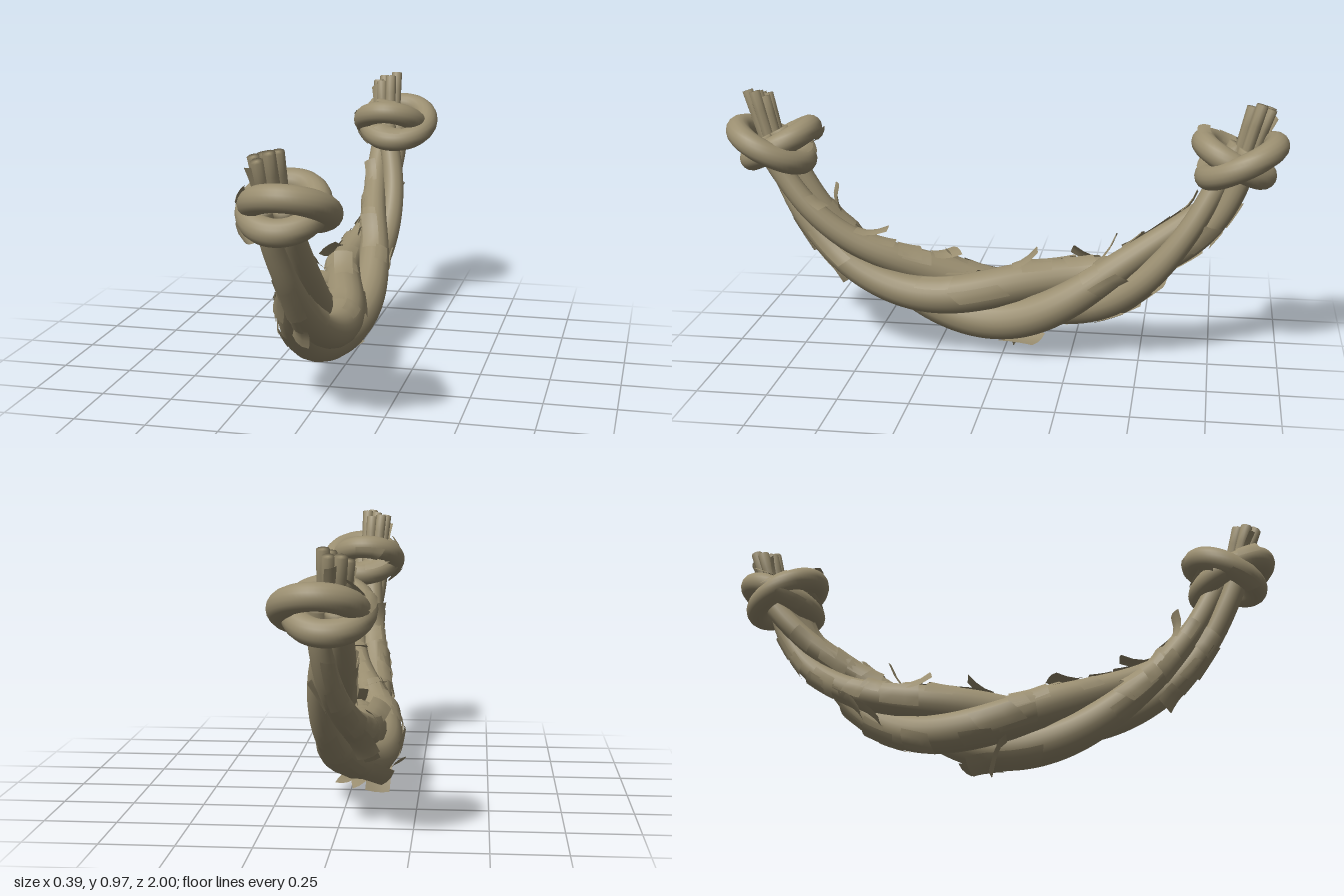
import * as THREE from 'three';
import { mergeGeometries, mergeVertices } from 'three/addons/utils/BufferGeometryUtils.js';

const V = (x, y, z) => new THREE.Vector3(x, y, z);
const RAD = Math.PI / 180;
const X = V(1, 0, 0), Y = V(0, 1, 0);

let seed = 7;
const rand = (a = 0, b = 1) => {
  seed = (seed * 16807) % 2147483647;
  return a + (b - a) * (seed / 2147483647);
};

// A path is { point(t), radius(t), ref }; this gives a point on its skin
function skin(path, t, angle, extra = 0, scale = 1) {
  const e = 0.002;
  const T = path.point(t + e).sub(path.point(t - e)).normalize();
  const N = path.ref.clone().cross(T).normalize();
  const A = T.clone().cross(N);
  const r = path.radius(t) * scale + extra;
  return path.point(t).addScaledVector(A, Math.cos(angle) * r).addScaledVector(N, Math.sin(angle) * r);
}

// Round tube along a path; when capped, the first and last rings close flat ends
function sweep(path, rings, sides, capped) {
  const g = new THREE.CylinderGeometry(1, 1, 1, sides, rings, true);
  const p = g.attributes.position;
  const h = capped ? 1 / rings : 0;
  for (let i = 0; i < p.count; i++) {
    const v = p.getY(i) + 0.5;
    const scale = capped && (v < 0.001 || v > 0.999) ? 0.02 : 1;
    const t = THREE.MathUtils.clamp((v - h) / (1 - 2 * h), 0, 1);
    const q = skin(path, t, Math.atan2(p.getZ(i), p.getX(i)), 0, scale);
    p.setXYZ(i, q.x, q.y, q.z);
  }
  g.deleteAttribute('uv');
  g.deleteAttribute('normal');
  const m = mergeVertices(g, 1e-5);
  m.computeVertexNormals();
  return m;
}

// Peeling strip of bark that hugs a path and lifts away toward one end
function flap(path, t, angle, width, dt, lift) {
  const g = new THREE.PlaneGeometry(1, 1, 3, 3);
  const p = g.attributes.position;
  const r = path.radius(t);
  const skew = rand(-0.25, 0.25);
  for (let i = 0; i < p.count; i++) {
    const u = -p.getX(i) * 2, v = p.getY(i) + 0.5;
    const rise = 0.004 + lift * v * v;
    const half = width / 2 / (r + rise);
    const q = skin(path, t + dt * (v + skew * u * 0.5), angle + u * half, rise);
    p.setXYZ(i, q.x, q.y, q.z);
  }
  if (dt < 0) g.index.array.reverse();
  g.computeVertexNormals();
  return g;
}

// Sagging centre line of the rope, from the front end to the back end
const centre = new THREE.CatmullRomCurve3([
  V(-0.015, 0.8, 0.86), V(-0.01, 0.66, 0.79), V(0, 0.51, 0.69), V(-0.005, 0.36, 0.53),
  V(-0.025, 0.235, 0.28), V(-0.04, 0.195, 0), V(-0.03, 0.24, -0.27), V(-0.01, 0.355, -0.5),
  V(0, 0.51, -0.68), V(-0.005, 0.66, -0.79), V(-0.015, 0.8, -0.86),
]);
const swell = (t) => Math.sin(Math.PI * THREE.MathUtils.clamp(t, 0, 1)) ** 3;
const twist = (k, t) => (60 + 120 * k + (t - 0.5) * 515 + (t - 0.5) ** 2 * 170) * RAD;
const centrePath = {
  ref: X,
  radius: (t) => 0.038 + 0.036 * swell(t),
  point: (t) => centre.getPointAt(THREE.MathUtils.clamp(t, 0, 1)),
};

const strands = [0, 1, 2].map((k) => ({
  ref: X,
  radius: (t) => 0.039 + 0.034 * swell(t),
  point: (t) => {
    const s = THREE.MathUtils.clamp(t, 0.004, 0.996);
    return skin(centrePath, s, twist(k, s)).addScaledVector(centre.getTangentAt(s), (t - s) * 2.3);
  },
}));

// Tilted loop of a knot; side is +1 at the front, -1 at the back
const loopPath = (side, tilt, x, z, r) => ({
  ref: Y,
  radius: () => 0.044,
  point: (t) => {
    const a = t * Math.PI * 2;
    return V(x + r * Math.sin(a), 0.772 + tilt * Math.cos(a), side * (z + r * Math.cos(a)));
  },
});

// Straight loose fibre sticking out above a knot
function tipPath(side, k) {
  const a = k * 60 * RAD, s = k === 6 ? 0 : 1;
  const from = V(-0.015 + s * 0.025 * Math.cos(a), 0.68, side * (0.82 + s * 0.02 * Math.sin(a)));
  const to = V(-0.032 + s * 0.038 * Math.cos(a), rand(0.93, 0.972), side * (0.9 + s * 0.036 * Math.sin(a)));
  return { ref: X, radius: () => 0.021, point: (t) => from.clone().lerp(to, t) };
}

export function createModel() {
  seed = 7;
  const bark = new THREE.MeshStandardMaterial({ color: 0x9a8e70, side: THREE.DoubleSide });
  bark.name = 'dry bark';
  const model = new THREE.Group();
  model.name = 'knottedRope';
  const add = (name, geometry) => {
    const mesh = new THREE.Mesh(geometry, bark);
    mesh.name = name;
    model.add(mesh);
  };

  // Three twisted strands
  strands.forEach((s, k) => add('strand' + (k + 1), sweep(s, 100, 16, true)));

  // Peeling bark, mostly on the right and upper sides
  const peel = [];
  while (peel.length < 75) {
    const k = Math.floor(rand(0, 3)), t = rand(0.12, 0.88);
    const angle = twist(k, t) + rand(-65, 65) * RAD;
    if (Math.cos(angle) > 0.25 && Math.sin(angle) < 0.8) continue;
    const raised = rand() < 0.3 && Math.cos(angle) > -0.75;
    const lift = raised ? rand(0.025, 0.05) : rand(0.002, 0.01);
    const dt = rand(0.03, 0.06) * (rand() < 0.5 ? -1 : 1);
    peel.push(flap(strands[k], t, angle, rand(0.045, 0.085), dt, lift));
  }
  // Larger loose pieces under the belly and along the left flank
  peel.push(flap(strands[1], 0.5, -86 * RAD, 0.09, 0.03, 0.105));
  peel.push(flap(strands[2], 0.5, -95 * RAD, 0.08, 0.045, 0.03));
  peel.push(flap(strands[0], 0.5, 0.1, 0.05, -0.08, 0.008));
  peel.push(flap(strands[2], 0.66, -0.3, 0.06, 0.05, 0.02));
  peel.push(flap(strands[0], 0.82, 0, 0.06, 0.06, 0.02));
  peel.push(flap(strands[0], 0.17, 0.2, 0.05, 0.07, 0.01));
  add('peelingBark', mergeGeometries(peel));

  // Knots of two crossing loops, with loose fibres and bark scraps, at both ends
  for (const side of [1, -1]) {
    const end = side > 0 ? 'front' : 'back';
    const loops = [
      loopPath(side, 0.058, 0.025, 0.838, 0.117),
      loopPath(side, -0.057, -0.002, 0.812, 0.106),
    ];
    add(end + 'Knot', mergeGeometries(loops.map((l) => sweep(l, 60, 16, false))));

    const tips = [], scraps = [];
    for (let k = 0; k < 7; k++) {
      const path = tipPath(side, k);
      tips.push(sweep(path, 6, 8, true));
      if (k % 2) scraps.push(flap(path, 0.5, rand(90, 270) * RAD, 0.04, 0.42, 0.01));
    }
    add(end + 'Fibres', mergeGeometries(tips));

    for (const loop of loops) {
      for (const t of [0.45, 0.53, 0.62, 0.7, 0.78]) {
        scraps.push(flap(loop, t, rand(0, 360) * RAD, rand(0.04, 0.065), rand(0.08, 0.13), rand(0.004, 0.015)));
      }
    }
    add(end + 'KnotBark', mergeGeometries(scraps));
  }
  return model;
}
